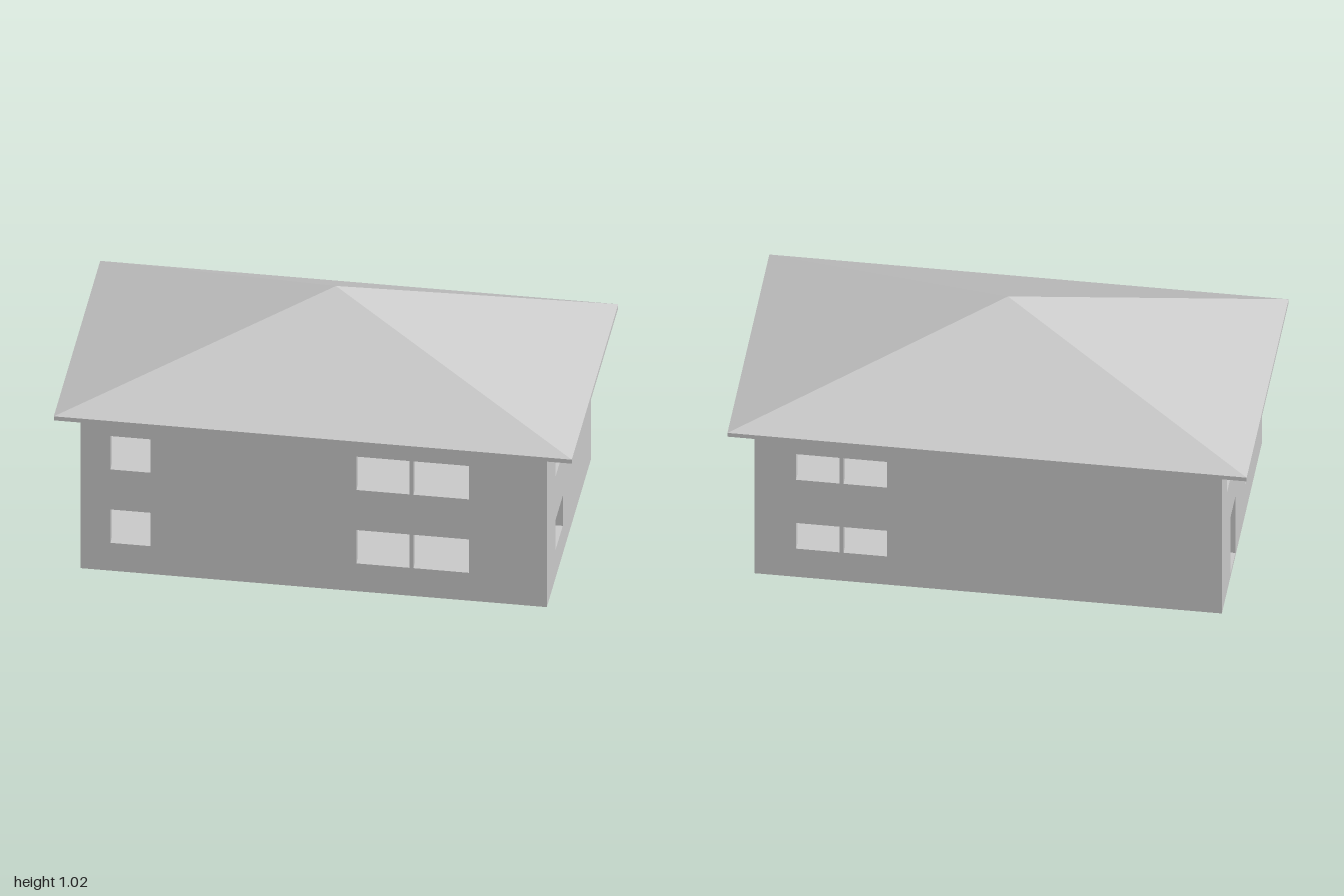
import * as THREE from 'three';

const material = new THREE.MeshStandardMaterial({ color: 0xcccccc, flatShading: true });
const WALL = 0.04, EAVE = 0.668, STOREY = 0.33;
const HALF_X = 0.9, FRONT = 0.545, BACK = -0.535;
const SLAB = 0.015;

// Repeats an opening [from, to, bottom, top] on both storeys
const bothStoreys = (a, b, y0, y1) => [[a, b, y0, y1], [a, b, y0 + STOREY, y1 + STOREY]];

// Upright panel from a to b with rectangular openings, extruded by depth
function wall(name, a, b, openings, depth = WALL) {
  const rect = (path, x0, x1, y0, y1) => {
    path.moveTo(x0, y0).lineTo(x1, y0).lineTo(x1, y1).lineTo(x0, y1).closePath();
    return path;
  };
  const shape = rect(new THREE.Shape(), a, b, 0, EAVE);
  for (const o of openings) shape.holes.push(rect(new THREE.Path(), ...o));
  const mesh = new THREE.Mesh(new THREE.ExtrudeGeometry(shape, { depth, bevelEnabled: false }), material);
  mesh.name = name;
  return mesh;
}

function box(name, w, h, d, x, y, z) {
  const mesh = new THREE.Mesh(new THREE.BoxGeometry(w, h, d), material);
  mesh.name = name;
  mesh.position.set(x, y, z);
  return mesh;
}

export function createModel() {
  const house = new THREE.Group();
  house.name = 'house';

  // Front wall: one small window and a pair on each storey
  const front = wall('frontWall', -HALF_X, HALF_X, [
    ...bothStoreys(-0.785, -0.63, 0.125, 0.275),
    ...bothStoreys(0.165, 0.37, 0.125, 0.275),
    ...bothStoreys(0.385, 0.6, 0.125, 0.275),
  ]);
  front.position.z = FRONT - WALL;

  // Back wall: a pair of windows on each storey
  const back = wall('backWall', -HALF_X, HALF_X, [
    ...bothStoreys(0.39, 0.557, 0.135, 0.258),
    ...bothStoreys(0.572, 0.74, 0.135, 0.258),
  ]);
  back.position.z = BACK;

  // Side walls, drawn along z and turned into place
  const z0 = BACK + WALL, z1 = FRONT - WALL;
  const right = wall('plusXWall', z0, z1, bothStoreys(0.155, 0.327, 0.125, 0.26));
  right.position.x = HALF_X;
  const left = wall('minusXWall', z0, z1, [
    ...bothStoreys(0.085, 0.305, 0.145, 0.26),
    [-0.395, -0.18, 0.475, 0.59],
    [-0.3, -0.17, 0.015, 0.285], // entrance door
  ]);
  left.position.x = -HALF_X + WALL;
  for (const side of [right, left]) side.rotation.y = -Math.PI / 2;

  // Inner partition with a doorway on each storey
  const inner = HALF_X - WALL;
  const partition = wall('partition', -inner, inner, bothStoreys(0.17, 0.305, SLAB, 0.29), 0.03);
  partition.position.z = -0.015;

  // Floor slabs
  for (const [i, name] of ['groundFloor', 'upperFloor'].entries()) {
    house.add(box(name, 2 * inner, SLAB, z1 - z0, 0, i * STOREY + SLAB / 2, (z0 + z1) / 2));
  }

  // Eaves slab and pyramid roof
  const eaves = box('eaves', 2, 0.018, 1.134, 0, EAVE + 0.009, 0);
  const pyramid = new THREE.ConeGeometry(Math.SQRT2, 0.334, 4, 1, true)
    .rotateY(Math.PI / 4)
    .scale(1, 1, 0.567);
  const roof = new THREE.Mesh(pyramid, material);
  roof.name = 'roof';
  roof.position.y = 0.686 + 0.167;

  house.add(front, back, right, left, partition, eaves, roof);
  return house;
}
